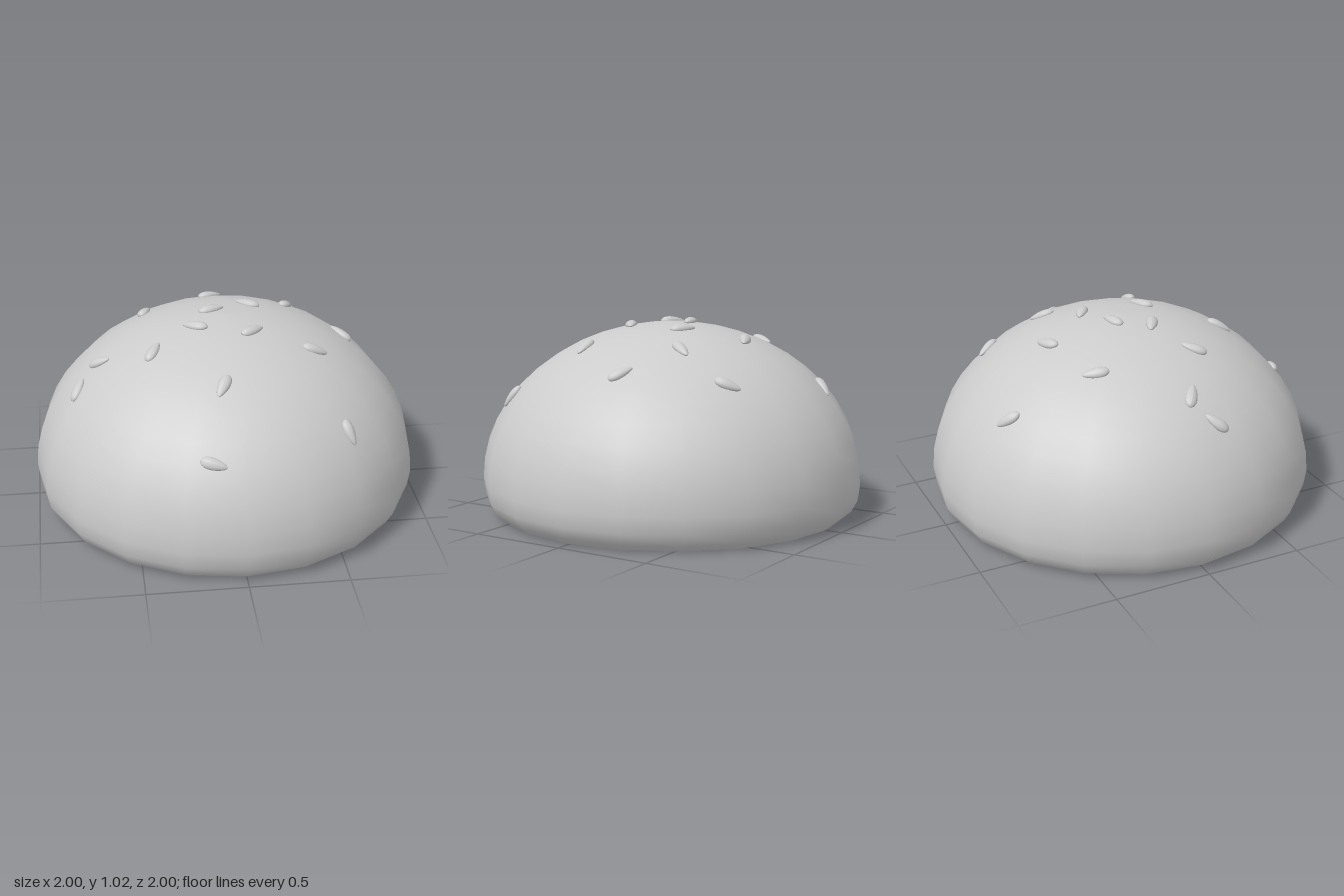
import * as THREE from 'three';

const SIDES = 20, RIM = 0.18, RISE = 0.82;

// Height of the faceted dome above a point in plan
function domeHeight(x, z) {
  const step = (2 * Math.PI) / SIDES;
  const a = Math.atan2(x, z);
  const off = a - (Math.floor(a / step) + 0.5) * step;
  const r = Math.hypot(x, z) * Math.cos(off) / Math.cos(step / 2);
  return RIM + RISE * Math.sqrt(Math.max(0, 1 - r * r));
}

// Teardrop seed lying along +x, blunt at -x and narrower at +x
function seedGeometry() {
  const g = new THREE.SphereGeometry(1, 14, 10);
  g.rotateZ(-Math.PI / 2);
  const p = g.attributes.position;
  for (let i = 0; i < p.count; i++) {
    const x = p.getX(i), taper = 1 - 0.3 * x;
    p.setXYZ(i, x * 0.068, p.getY(i) * 0.022 * taper, p.getZ(i) * 0.03 * taper);
  }
  g.computeVertexNormals();
  return g;
}

export function createModel() {
  const group = new THREE.Group();
  const material = new THREE.MeshStandardMaterial({ color: 0xcccccc });

  // Dome: tucked-in lower edge, then a quarter ellipse up to the crown
  const profile = [[0.91, 0], [0.955, 0.035], [0.988, 0.095]].map(([r, y]) => new THREE.Vector2(r, y));
  const rows = 12;
  for (let i = 0; i <= rows; i++) {
    const t = (i / rows) * Math.PI / 2;
    profile.push(new THREE.Vector2(i === rows ? 0 : Math.cos(t), RIM + RISE * Math.sin(t)));
  }
  const dome = new THREE.Mesh(new THREE.LatheGeometry(profile, SIDES), material);
  dome.name = 'bunDome';
  group.add(dome);

  // Flat underside
  const base = new THREE.Mesh(new THREE.CircleGeometry(0.91, SIDES).rotateX(Math.PI / 2), material);
  base.name = 'bunUnderside';
  group.add(base);

  // Seeds: x, z and the plan direction dx, dz of the narrow end
  const seeds = [
    [-0.28, -0.74, 12, -19], [0.41, -0.58, -10, -20], [-0.03, -0.42, 24, -11],
    [-0.39, -0.32, 9, -23], [0.365, -0.285, 11, -20], [0.14, -0.155, -21, -14],
    [0.635, -0.11, -16, -14], [-0.06, -0.07, 23, -7], [-0.65, 0.07, 18, 13],
    [-0.765, 0.15, 12, -19], [-0.16, 0.1, -20, -12], [-0.385, 0.225, 12, -20],
    [0.12, 0.18, 19, -12], [0.43, 0.25, 22, 0], [-0.07, 0.545, -12, 20],
    [0.54, 0.64, 8, 13], [-0.15, 0.835, 21, 7],
  ];
  const seedGeo = seedGeometry();
  const seedGroup = new THREE.Group();
  seedGroup.name = 'seeds';
  for (const [x, z, dx, dz] of seeds) {
    const y = domeHeight(x, z);
    const normal = new THREE.Vector3(x, (y - RIM) / (RISE * RISE), z).normalize();
    const along = new THREE.Vector3(dx, -(normal.x * dx + normal.z * dz) / normal.y, dz).normalize();
    const across = new THREE.Vector3().crossVectors(along, normal);
    const seed = new THREE.Mesh(seedGeo, material);
    seed.name = 'seed';
    seed.quaternion.setFromRotationMatrix(new THREE.Matrix4().makeBasis(along, normal, across));
    seed.position.set(x, y, z).addScaledVector(normal, 0.002);
    seedGroup.add(seed);
  }
  group.add(seedGroup);
  return group;
}
